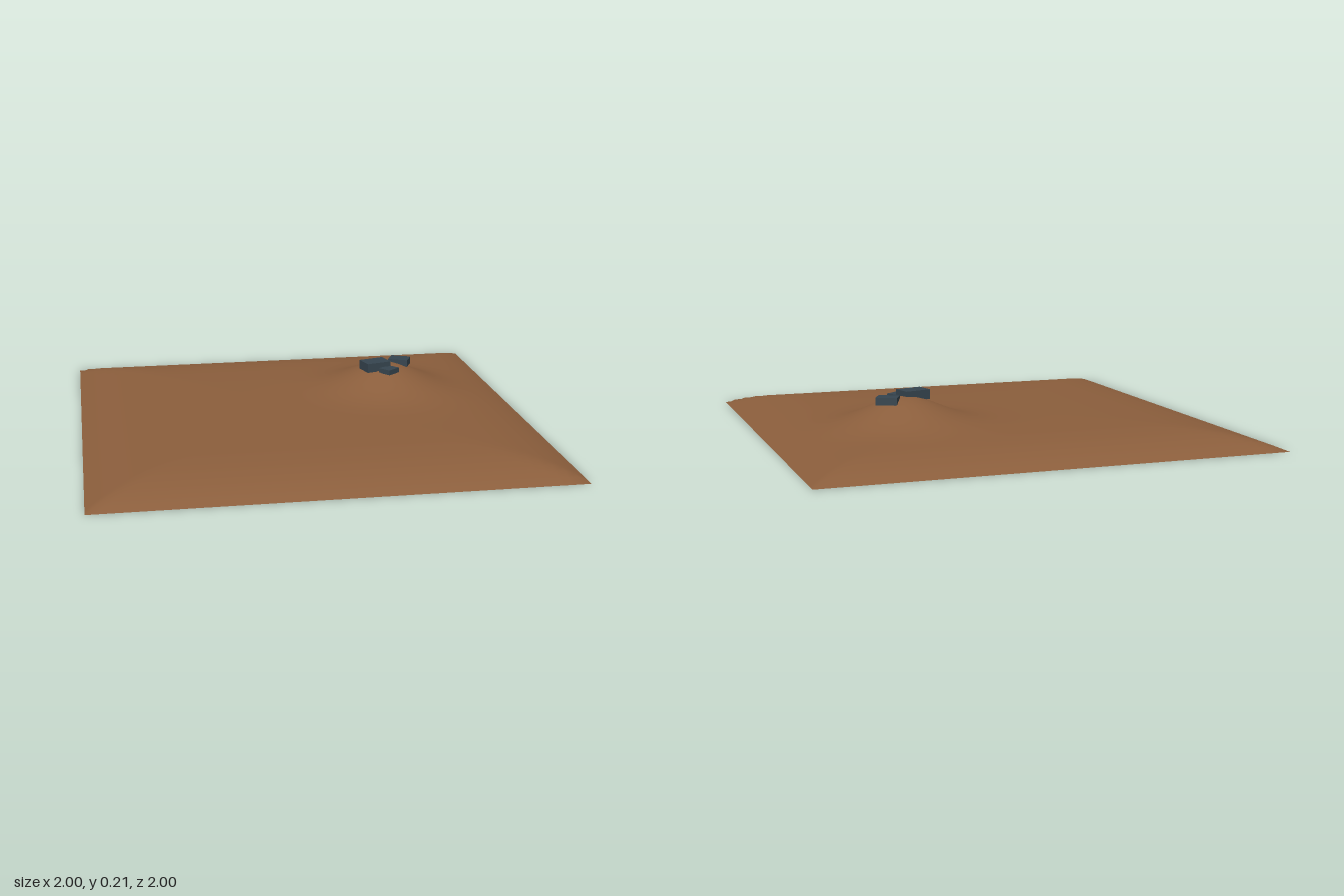
import * as THREE from 'three';

// Plateau that drops off towards the square's edges, with one rounded hill
function groundHeight(x, z) {
  const edge = 1 - Math.pow(Math.max(Math.abs(x), Math.abs(z)), 6);
  const d2 = (x - 0.43) ** 2 + (z + 0.23) ** 2;
  return edge * (0.075 + 0.117 * Math.exp(-d2 / 0.055));
}

export function createModel() {
  const model = new THREE.Group();
  model.name = 'hillTerrain';

  // Ground: an open sheet lifted by the height rule
  const geometry = new THREE.PlaneGeometry(2, 2, 48, 48).rotateX(-Math.PI / 2);
  const p = geometry.attributes.position;
  for (let i = 0; i < p.count; i++) p.setY(i, groundHeight(p.getX(i), p.getZ(i)));
  geometry.computeVertexNormals();
  const ground = new THREE.Mesh(geometry, new THREE.MeshStandardMaterial({ color: 0x8b5e3c, side: THREE.DoubleSide }));
  ground.name = 'ground';
  model.add(ground);

  // Flat stones on the hilltop: size, centre, turn
  const stone = new THREE.MeshStandardMaterial({ color: 0x36454f });
  const stones = [
    ['largeStone', [0.12, 0.042, 0.085], [0.375, 0.191, -0.19], 0.27],
    ['mediumStone', [0.092, 0.032, 0.073], [0.51, 0.183, -0.267], -0.45],
    ['smallStone', [0.07, 0.023, 0.062], [0.43, 0.178, -0.135], 0.68],
  ];
  for (const [name, size, centre, turn] of stones) {
    const mesh = new THREE.Mesh(new THREE.BoxGeometry(...size), stone);
    mesh.name = name;
    mesh.position.set(...centre);
    mesh.rotation.y = turn;
    model.add(mesh);
  }
  return model;
}
